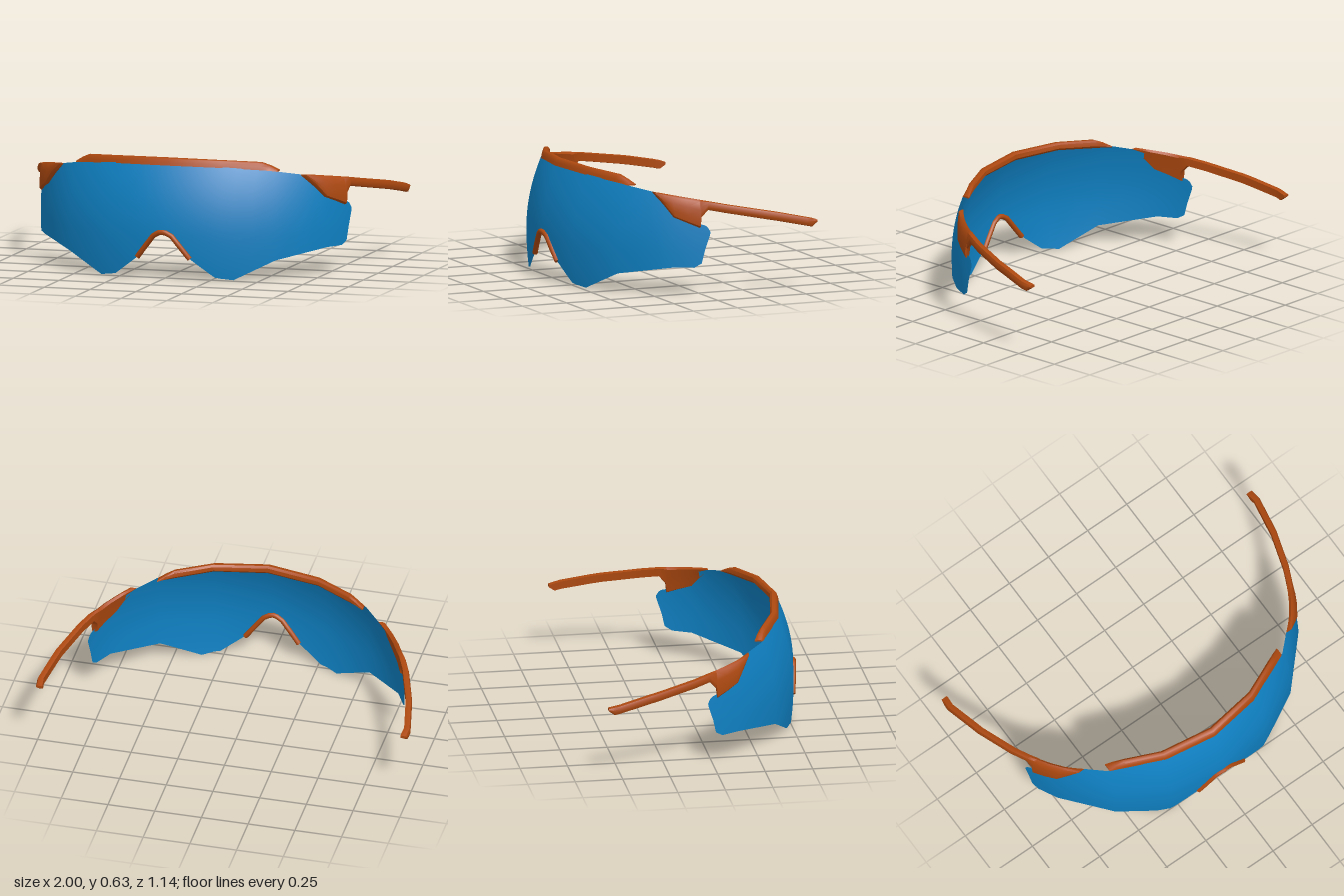
import * as THREE from 'three';
import { toCreasedNormals } from 'three/addons/utils/BufferGeometryUtils.js';

const lensBlue = new THREE.MeshStandardMaterial({ color: 0x0f80c2, side: THREE.DoubleSide });
const frameOrange = new THREE.MeshStandardMaterial({ color: 0xac480f });
lensBlue.name = 'lens blue';
frameOrange.name = 'frame orange';

// Piecewise linear lookup in a list of [key, value]
function lerpTable(table, k) {
  if (k <= table[0][0]) return table[0][1];
  for (let i = 1; i < table.length; i++) {
    const [a, va] = table[i - 1], [b, vb] = table[i];
    if (k <= b) return va + (vb - va) * (k - a) / (b - a);
  }
  return table[table.length - 1][1];
}

// Wraparound surface: an elliptic plan that leans back above and below its waist
const A = 0.88, B = 0.79, FRONT = 0.56;
const plan = x => FRONT - B * (1 - Math.sqrt(1 - (x / A) ** 2));
const planTable = [0, 0.3, 0.56, 0.77, 0.82, 0.847].map(x => [x, plan(x)]);
const bend = y => (y > 0.22 ? 0.6 : 0.3);
const drop = (x, y) => bend(y) * (y - 0.22) ** 2 * (1 + 0.4 * x * x);
const lensZ = (x, y) => lerpTable(planTable, Math.abs(x)) - drop(x, y);
const lensX = (z, y) => {
  const t = 1 - (FRONT - z - drop(0.75, y)) / B;
  return A * Math.sqrt(1 - t * t);
};

// Lens outline, half of it
const bottomEdge = [[0, 0.245], [0.05, 0.225], [0.15, 0.105], [0.27, 0.015], [0.36, 0], [0.56, 0.1],
  [0.77, 0.148], [0.822, 0.148], [0.834, 0.17], [0.847, 0.32]];
const topEdge = [[0, 0.592], [0.29, 0.586], [0.54, 0.56], [0.65, 0.533], [0.77, 0.47], [0.82, 0.38],
  [0.838, 0.368], [0.847, 0.335]];

function lensGeometry() {
  const half = [0.05, 0.1, 0.15, 0.21, 0.27, 0.3, 0.36, 0.45, 0.54, 0.56, 0.65, 0.71, 0.77, 0.8, 0.82, 0.834, 0.84, 0.847];
  const xs = [...half.map(x => -x).reverse(), 0, ...half];
  const rows = 12, pos = [], nor = [], idx = [];
  xs.forEach((x, c) => {
    const ax = Math.abs(x), lo = lerpTable(bottomEdge, ax), hi = lerpTable(topEdge, ax);
    for (let r = 0; r <= rows; r++) {
      const y = lo + (hi - lo) * r / rows;
      pos.push(x, y, lensZ(x, y));
      const n = new THREE.Vector3(
        B * x / (A * A * Math.sqrt(1 - (x / A) ** 2)), 2 * bend(y) * (y - 0.22), 1).normalize();
      nor.push(n.x, n.y, n.z);
      if (c && r) {
        const d = c * (rows + 1) + r, a = d - rows - 2;
        idx.push(a, d - 1, d, a, d, a + 1);
      }
    }
  });
  const g = new THREE.BufferGeometry();
  g.setAttribute('position', new THREE.Float32BufferAttribute(pos, 3));
  g.setAttribute('normal', new THREE.Float32BufferAttribute(nor, 3));
  g.setIndex(idx);
  return g;
}

// Closed solid through rings of points, wound outwards
function loft(rings, crease = 0.7) {
  const n = rings[0].length, pts = rings.flat(), tris = [];
  for (let i = 0; i < rings.length - 1; i++) {
    for (let j = 0; j < n; j++) {
      const a = i * n + j, b = i * n + (j + 1) % n;
      tris.push([a, b, b + n], [a, b + n, a + n]);
    }
  }
  const last = (rings.length - 1) * n;
  for (let j = 1; j < n - 1; j++) {
    tris.push([0, j + 1, j], [last, last + j, last + j + 1]);
  }
  let volume = 0;
  for (const [a, b, c] of tris) {
    volume += pts[a].dot(new THREE.Vector3().crossVectors(pts[b], pts[c]));
  }
  if (volume < 0) tris.forEach(t => t.reverse());
  const g = new THREE.BufferGeometry().setFromPoints(pts);
  g.setIndex(tris.flat());
  return toCreasedNormals(g, crease);
}

// Brow bar: [x, bottom, top], resting on the top edge of the lens
function browGeometry() {
  const half = [[0.28, 0.582, 0.619], [0.47, 0.566, 0.605], [0.51, 0.562, 0.588], [0.55, 0.556, 0.564]];
  const stations = [...half.map(([x, b, t]) => [-x, b, t]).reverse(), [0, 0.588, 0.627], ...half];
  return loft(stations.map(([x, b, t]) => {
    const z = lensZ(x, b) + 0.003, h = t - b;
    // Section corners as [depth behind the front, fraction of the height]
    return [[0, 0], [0.004, 0.4], [0.012, 0.9], [0.018, 1], [0.034, 1], [0.044, 0.75], [0.046, 0.2], [0.036, -0.1]]
      .map(([d, f]) => new THREE.Vector3(x, b + f * h, z - d));
  }));
}

// Temple: hinge plate hugging the lens, then a thin curved arm: [z, top, bottom]
const templeStations = [
  [0.217, 0.535, 0.528], [0.18, 0.53, 0.47], [0.145, 0.524, 0.41], [0.085, 0.514, 0.383],
  [0.026, 0.504, 0.357], [0.02, 0.503, 0.41], [-0.015, 0.497, 0.45], [-0.1, 0.481, 0.434],
  [-0.19, 0.465, 0.418], [-0.3, 0.446, 0.398], [-0.36, 0.435, 0.387], [-0.51, 0.403, 0.356],
  [-0.54, 0.396, 0.349], [-0.57, 0.386, 0.372]];
const armX = [[-0.57, 0.974], [-0.51, 0.98], [-0.3, 0.937], [-0.1, 0.871], [-0.015, 0.832]];

function templeGeometry(side) {
  return loft(templeStations.map(([z, top, bottom]) => {
    const section = [];
    const add = (offset, f) => {
      const y = bottom + (top - bottom) * f;
      const x = z > -0.01 ? lensX(z, y) : lerpTable(armX, z);
      section.push(new THREE.Vector3(side * (x + offset), y, z));
    };
    for (const f of [0.06, 0.3, 0.65, 0.92]) add(f > 0.1 && f < 0.9 ? 0.018 : 0.013, f);
    add(0, 1);
    for (const f of [0.92, 0.65, 0.3, 0.06]) add(-0.016, f);
    add(0, 0);
    return section;
  }));
}

// Nose pad rim: a thin tube along the notch
function noseGeometry() {
  const half = [[0.02, 0.245], [0.05, 0.228], [0.1, 0.165], [0.143, 0.11]];
  const path = [...half.map(([x, y]) => [-x, y]).reverse(), [0, 0.248], ...half];
  return loft(path.map(([x, y], i) => {
    const [x0, y0] = path[Math.max(i - 1, 0)], [x1, y1] = path[Math.min(i + 1, path.length - 1)];
    const len = Math.hypot(x1 - x0, y1 - y0), nx = -(y1 - y0) / len, ny = (x1 - x0) / len;
    return Array.from({ length: 8 }, (_, k) => {
      const a = k * Math.PI / 4, r = 0.014 * Math.cos(a);
      return new THREE.Vector3(x + nx * r, y + ny * r, lensZ(x, y) - 0.001 + 0.015 * Math.sin(a));
    });
  }), 1);
}

export function createModel() {
  const model = new THREE.Group();
  model.name = 'shieldSunglasses';
  const add = (name, geometry, material) => {
    const mesh = new THREE.Mesh(geometry, material);
    mesh.name = name;
    model.add(mesh);
  };
  add('lens', lensGeometry(), lensBlue);
  add('browBar', browGeometry(), frameOrange);
  add('nosePiece', noseGeometry(), frameOrange);
  add('leftTemple', templeGeometry(1), frameOrange);
  add('rightTemple', templeGeometry(-1), frameOrange);
  return model;
}
